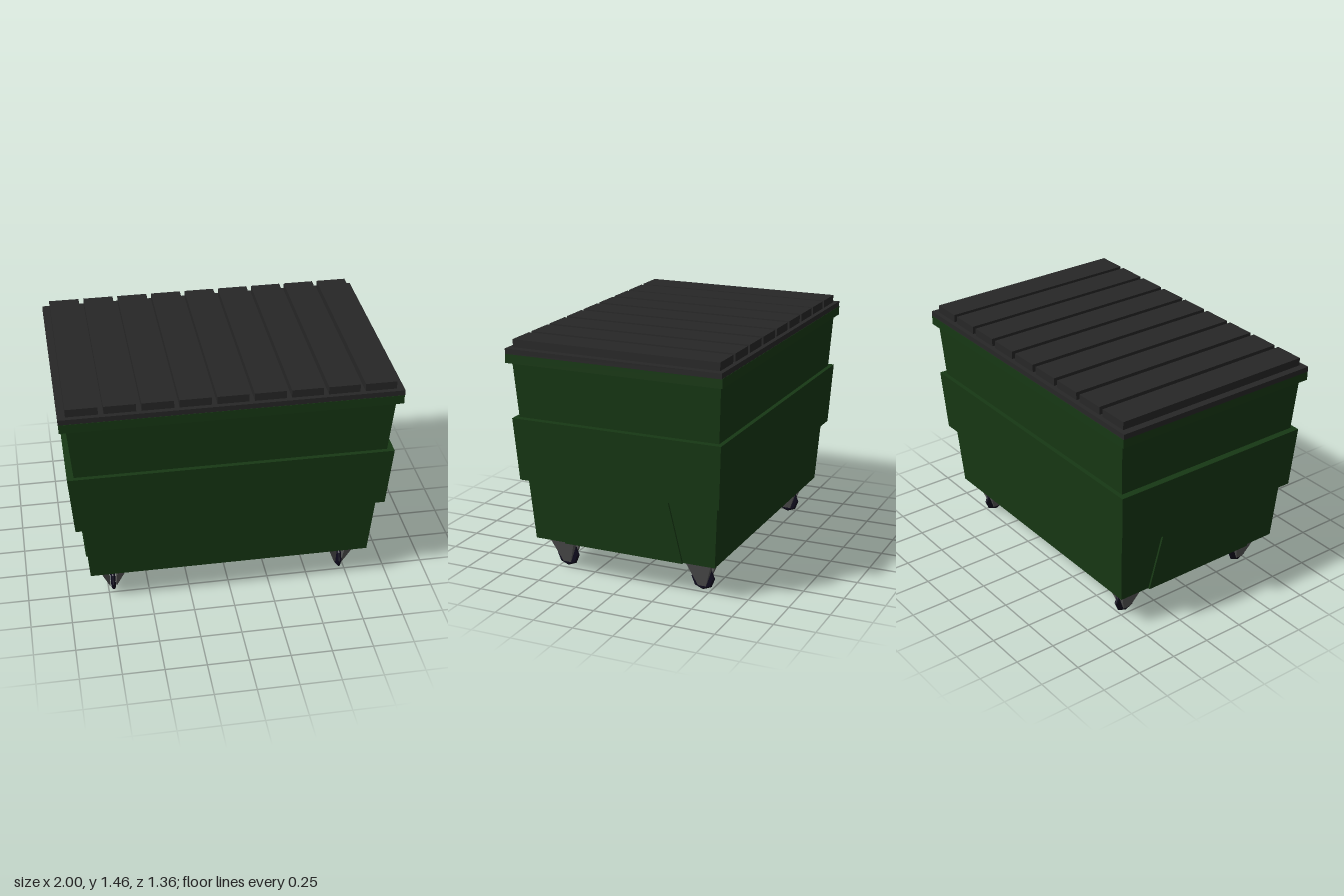
import * as THREE from 'three';

const paint = (color) => new THREE.MeshStandardMaterial({ color, flatShading: true });

// Box whose half-widths in x and z change from bottom to top
function taperedBox(name, material, y0, y1, [bx, bz], [tx, tz]) {
  const geometry = new THREE.BoxGeometry(2, 1, 2);
  const p = geometry.attributes.position;
  for (let i = 0; i < p.count; i++) {
    const top = p.getY(i) > 0;
    p.setXYZ(i, p.getX(i) * (top ? tx : bx), top ? y1 : y0, p.getZ(i) * (top ? tz : bz));
  }
  geometry.computeVertexNormals();
  const mesh = new THREE.Mesh(geometry, material);
  mesh.name = name;
  return mesh;
}

// Notched fork: a front outline extruded along z, narrowing in z towards the axle
function forkGeometry() {
  const outline = [[-0.09, 0.215], [-0.022, 0.03], [-0.018, 0.03], [-0.024, 0.16],
    [0.024, 0.16], [0.018, 0.03], [0.022, 0.03], [0.09, 0.215]];
  const shape = new THREE.Shape(outline.map(([x, y]) => new THREE.Vector2(x, y)));
  const geometry = new THREE.ExtrudeGeometry(shape, { depth: 2, bevelEnabled: false });
  const p = geometry.attributes.position;
  for (let i = 0; i < p.count; i++) {
    const half = THREE.MathUtils.mapLinear(p.getY(i), 0.03, 0.215, 0.025, 0.09);
    p.setZ(i, (p.getZ(i) - 1) * half);
  }
  geometry.computeVertexNormals();
  return geometry;
}

// Eight-sided wheel with rounded tread, axle along x
function wheelGeometry() {
  const profile = [[0, -0.012], [0.064, -0.012], [0.072, -0.007], [0.075, 0],
    [0.072, 0.007], [0.064, 0.012], [0, 0.012]];
  return new THREE.LatheGeometry(profile.map(([r, y]) => new THREE.Vector2(r, y)), 8).rotateZ(Math.PI / 2);
}

export function createModel() {
  const model = new THREE.Group();
  model.name = 'wheeledDumpster';
  const green = paint(0x173814);
  const black = paint(0x272727);
  const metal = paint(0x575757);
  const rubber = paint(0x0d0a1c);

  // Stacked bin walls
  const bin = new THREE.Group();
  bin.name = 'bin';
  bin.add(
    taperedBox('lowerBody', green, 0.212, 0.61, [0.863, 0.585], [0.894, 0.611]),
    taperedBox('raisedSidePanels', green, 0.21, 0.605, [0.875, 0.385], [0.906, 0.305]),
    taperedBox('middleBand', green, 0.6, 0.987, [0.94, 0.64], [0.97, 0.662]),
    taperedBox('upperBody', green, 0.98, 1.33, [0.929, 0.635], [0.958, 0.655]),
    taperedBox('rim', green, 1.325, 1.38, [0.997, 0.678], [0.997, 0.678]),
  );
  model.add(bin);

  // Lid with nine raised ribs
  const lid = new THREE.Group();
  lid.name = 'lid';
  lid.add(taperedBox('lidPlate', black, 1.38, 1.412, [1, 0.676], [1, 0.676]));
  for (let i = 0; i < 9; i++) {
    const rib = taperedBox('lidRib', black, 1.405, 1.46, [0.0925, 0.648], [0.0925, 0.648]);
    rib.position.x = (i - 4) * 0.2158;
    lid.add(rib);
  }
  model.add(lid);

  // Four casters
  const forkGeo = forkGeometry();
  const wheelGeo = wheelGeometry();
  for (const x of [-0.72, 0.715]) {
    for (const z of [-0.45, 0.45]) {
      const caster = new THREE.Group();
      caster.name = 'caster';
      const fork = new THREE.Mesh(forkGeo, metal);
      fork.name = 'casterFork';
      const wheel = new THREE.Mesh(wheelGeo, rubber);
      wheel.name = 'casterWheel';
      wheel.position.y = 0.075;
      caster.add(fork, wheel);
      caster.position.set(x, 0, z);
      model.add(caster);
    }
  }
  return model;
}
